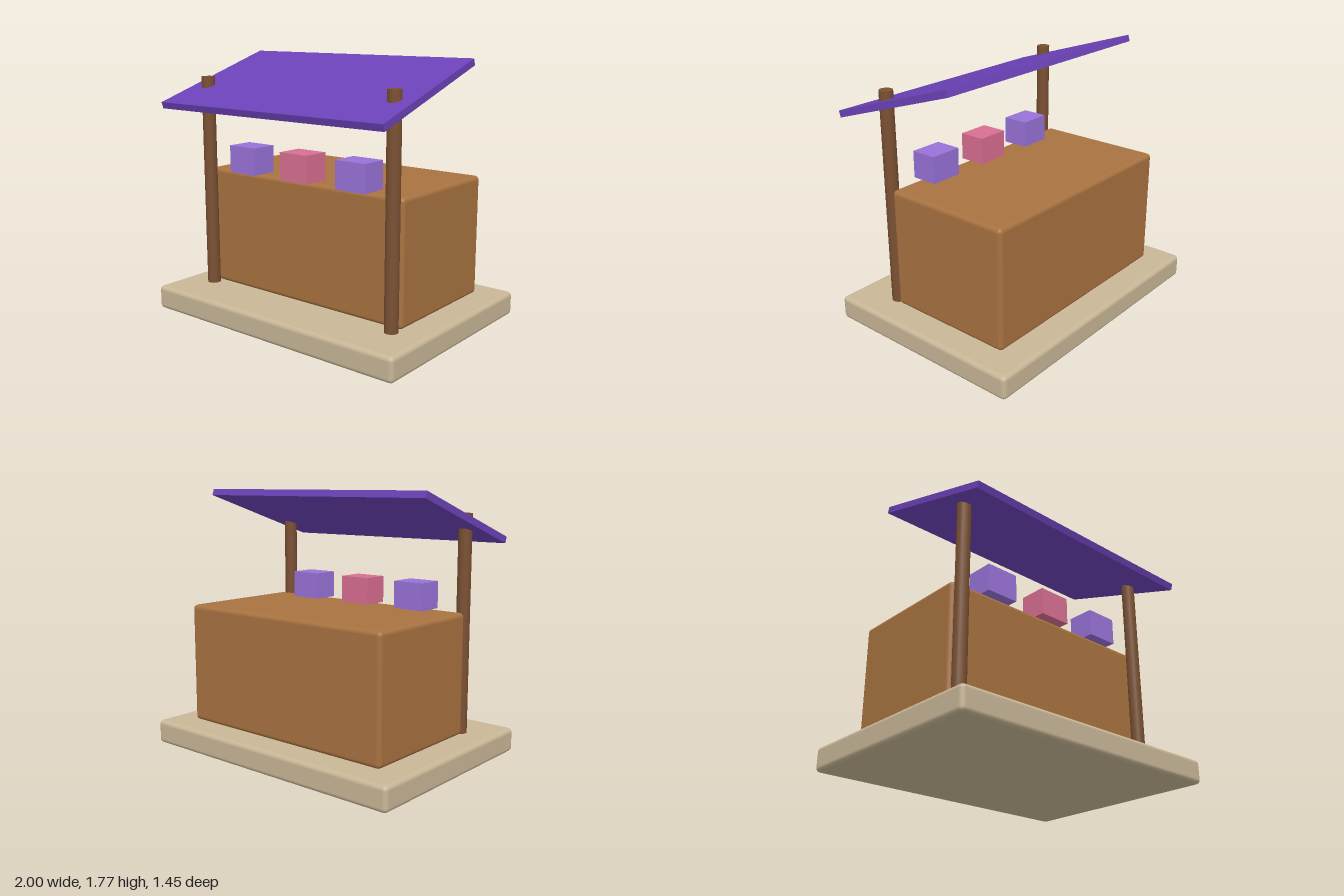
import * as THREE from 'three';
import { RoundedBoxGeometry } from 'three/addons/geometries/RoundedBoxGeometry.js';

const paint = (name, color) => {
  const m = new THREE.MeshStandardMaterial({ color });
  m.name = name;
  return m;
};

export function createModel() {
  const stall = new THREE.Group();
  stall.name = 'marketStall';

  const stone = paint('sandstone', 0xc8b696);
  const wood = paint('warm wood', 0xa87240);
  const darkWood = paint('dark wood', 0x7a5032);
  const violet = paint('violet', 0x6c42b8);
  const lilac = paint('lilac', 0x9872d8);
  const pink = paint('rose pink', 0xd86e92);

  const add = (name, geometry, material, x, y, z) => {
    const mesh = new THREE.Mesh(geometry, material);
    mesh.name = name;
    mesh.position.set(x, y, z);
    stall.add(mesh);
    return mesh;
  };

  // Base slab and counter with softened edges
  add('base', new RoundedBoxGeometry(2, 0.163, 1.453, 3, 0.03), stone, 0, 0.0815, 0);
  add('counter', new RoundedBoxGeometry(1.63, 0.82, 0.908, 3, 0.03), wood, 0, 0.574, -0.09);

  // Front posts, which poke through the roof
  const post = new THREE.CylinderGeometry(0.045, 0.045, 1.47, 16);
  add('leftPost', post, darkWood, 0.772, 0.888, 0.409);
  add('rightPost', post, darkWood, -0.772, 0.888, 0.409);

  // Sloping roof, low at the front
  const roof = add('roof', new THREE.BoxGeometry(1.814, 0.045, 1.0), violet, 0, 1.595, 0.227);
  roof.rotation.x = THREE.MathUtils.degToRad(18);

  // Goods lined up along the counter's front edge
  const goods = new THREE.BoxGeometry(0.228, 0.184, 0.184);
  [-1, 0, 1].forEach((i) =>
    add(['rightGoods', 'middleGoods', 'leftGoods'][i + 1], goods, i ? lilac : pink, i * 0.456, 1.076, 0.322));

  return stall;
}
